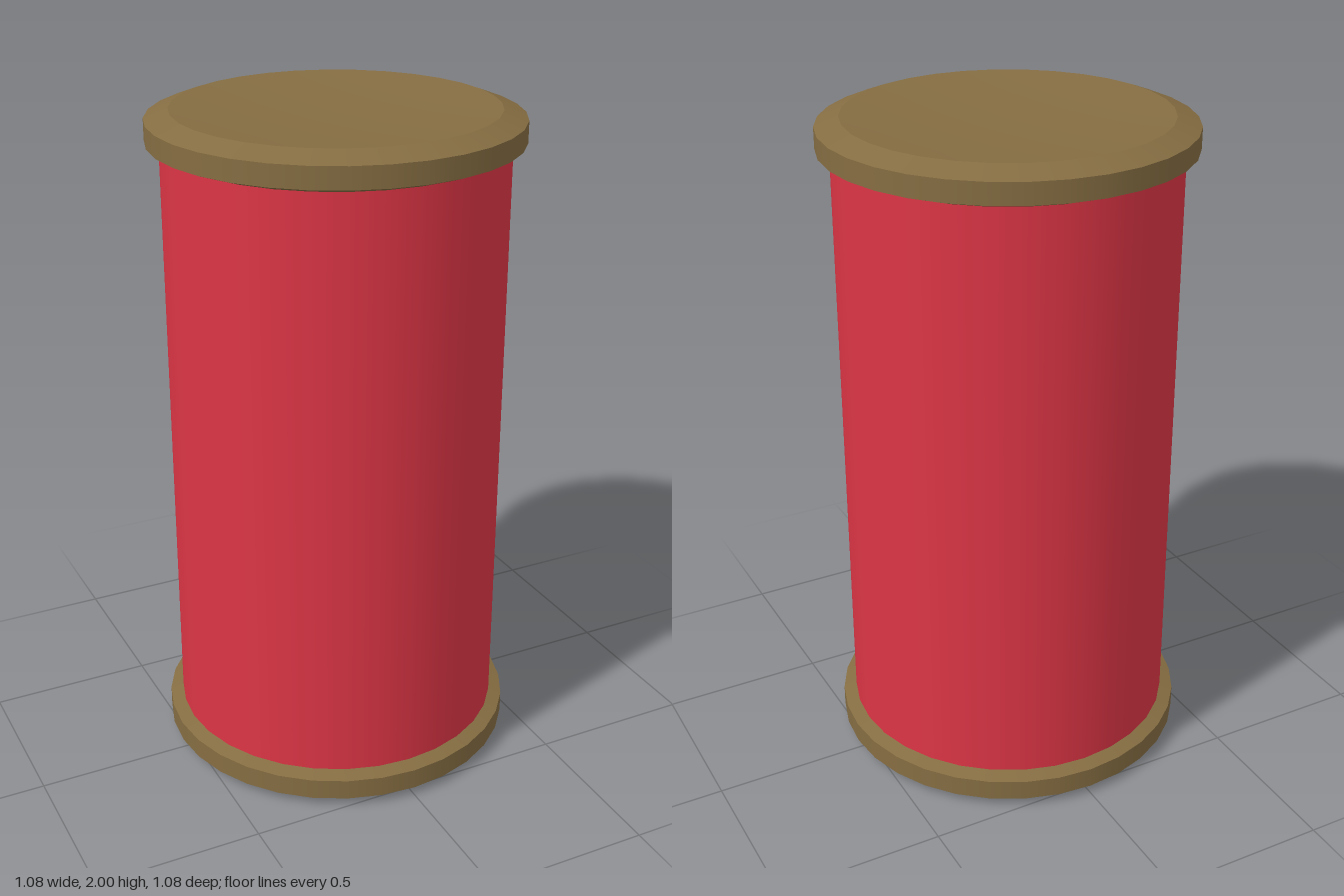
import * as THREE from 'three';

const SIDES = 32;

// Revolves a [radius, y] profile, smooth along its length
function revolve(points, material, name) {
  const profile = points.map(([r, y]) => new THREE.Vector2(r, y));
  const mesh = new THREE.Mesh(new THREE.LatheGeometry(profile, SIDES), material);
  mesh.name = name;
  return mesh;
}

// End cap with its base at y = 0, facing up
function makeCap(material, name) {
  const cap = new THREE.Group();
  cap.name = name;
  const rim = [[0.5, 0], [0.54, 0.015], [0.54, 0.078], [0.47, 0.105]];

  // Separate bands keep the bevel edges sharp
  const bands = ['innerBevel', 'rimEdge', 'outerBevel'];
  bands.forEach((band, i) => cap.add(revolve([rim[i], rim[i + 1]], material, band)));

  // Slightly dished end face
  const dish = [];
  for (let i = 0; i <= 6; i++) {
    const t = 1 - i / 6;
    dish.push([0.47 * t, 0.105 - 0.02 * (1 - t * t)]);
  }
  cap.add(revolve(dish, material, 'endFace'));
  return cap;
}

export function createModel() {
  const model = new THREE.Group();
  model.name = 'cylinderWithCaps';
  const red = new THREE.MeshStandardMaterial({ color: 0xdc3545 });
  const bronze = new THREE.MeshStandardMaterial({ color: 0x856d42 });

  // Body
  model.add(revolve([[0.5, 0.105], [0.5, 1.895]], red, 'body'));

  // Matching caps at both ends
  const topCap = makeCap(bronze, 'topCap');
  topCap.position.y = 1.895;
  const bottomCap = makeCap(bronze, 'bottomCap');
  bottomCap.rotation.x = Math.PI;
  bottomCap.position.y = 0.105;
  model.add(topCap, bottomCap);

  return model;
}
